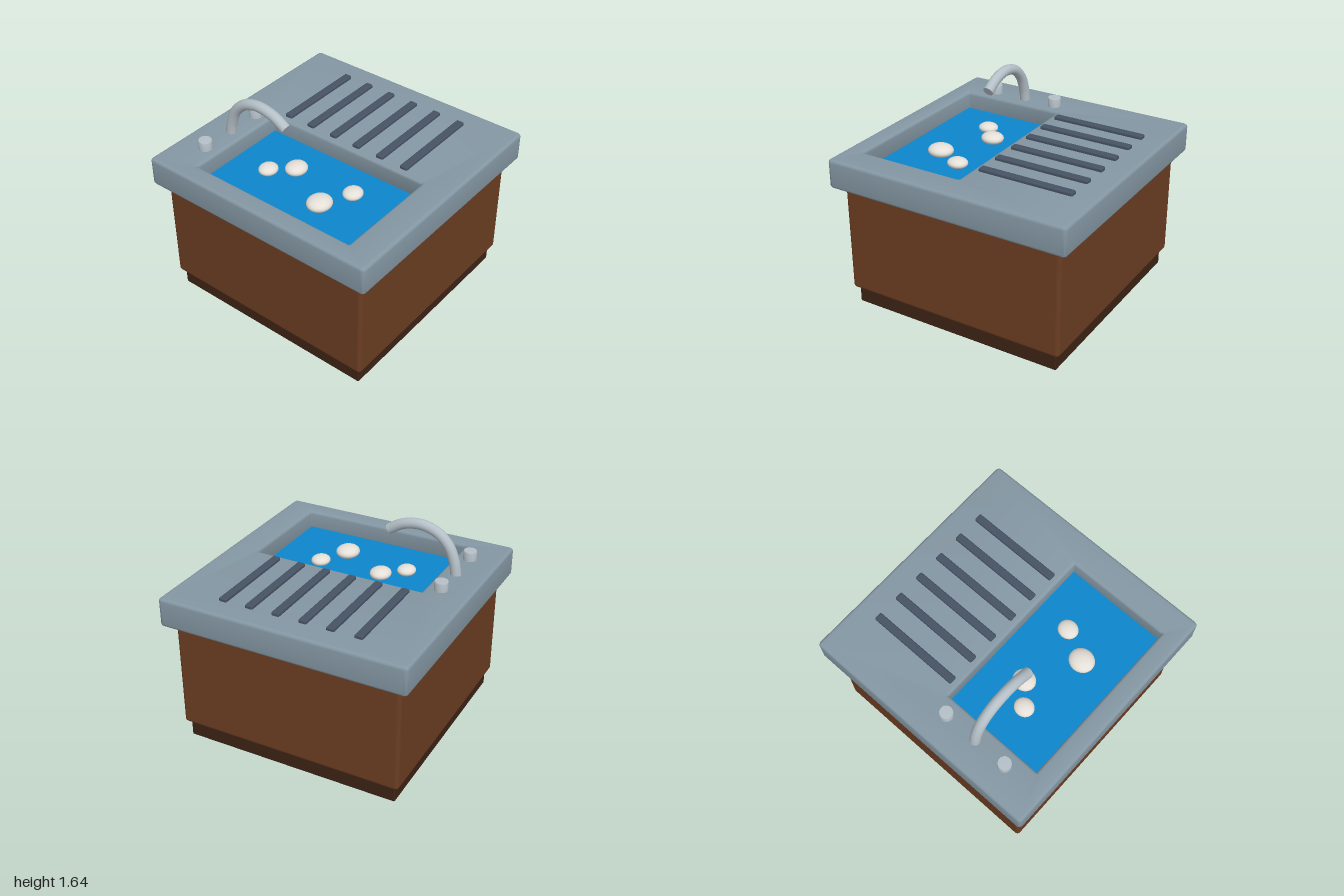
import * as THREE from 'three';
import { RoundedBoxGeometry } from 'three/addons/geometries/RoundedBoxGeometry.js';
import { toCreasedNormals } from 'three/addons/utils/BufferGeometryUtils.js';

const mat = (color) => new THREE.MeshStandardMaterial({ color });

// Rounded rectangle, usable as an outline or as a hole
function roundedRect(path, x0, y0, x1, y1, r) {
  path.moveTo(x0 + r, y0);
  path.lineTo(x1 - r, y0);
  path.absarc(x1 - r, y0 + r, r, -Math.PI / 2, 0);
  path.lineTo(x1, y1 - r);
  path.absarc(x1 - r, y1 - r, r, 0, Math.PI / 2);
  path.lineTo(x0 + r, y1);
  path.absarc(x0 + r, y1 - r, r, Math.PI / 2, Math.PI);
  path.lineTo(x0, y0 + r);
  path.absarc(x0 + r, y0 + r, r, Math.PI, Math.PI * 1.5);
  return path;
}

export function createModel() {
  const group = new THREE.Group();
  const wood = mat(0x6b3d22), darkWood = mat(0x3d2214), stone = mat(0x8497a3);
  const slate = mat(0x465263), metal = mat(0xb4bfc7), blue = mat(0x0d86cc), foam = mat(0xe4e0d8);

  function add(name, geometry, material, x = 0, y = 0, z = 0) {
    const mesh = new THREE.Mesh(geometry, material);
    mesh.name = name;
    mesh.position.set(x, y, z);
    group.add(mesh);
    return mesh;
  }

  // Base and cabinet
  add('plinth', new RoundedBoxGeometry(1.76, 0.16, 1.76, 3, 0.012), darkWood, 0, 0.08, 0);
  add('cabinet', new RoundedBoxGeometry(1.835, 0.9, 1.835, 4, 0.03), wood, 0, 0.585, 0);

  // Worktop with basin opening, edges rounded all round
  const bevel = 0.025;
  const outline = roundedRect(new THREE.Shape(), -1, -1, 1, 1, 0.032);
  outline.holes.push(roundedRect(new THREE.Path(), -0.845, -0.757, 0.003, 0.648, 0.006));
  const top = new THREE.ExtrudeGeometry(outline, {
    depth: 0.233 - 2 * bevel, bevelEnabled: true, bevelSize: bevel, bevelThickness: bevel,
    bevelOffset: -bevel, bevelSegments: 4, curveSegments: 5,
  });
  top.rotateX(-Math.PI / 2);
  add('worktop', toCreasedNormals(top, 0.7), stone, 0, 1.017 + bevel, 0);

  // Water filling the basin
  add('water', new THREE.BoxGeometry(0.852, 0.09, 1.409), blue, -0.421, 1.065, 0.0545);

  // Bubbles floating on the water: x, z, radius
  const bubbles = [[-0.52, 0.235, 0.103], [-0.283, 0.355, 0.082], [-0.303, -0.165, 0.092], [-0.442, -0.323, 0.08]];
  for (const [x, z, r] of bubbles) {
    add('bubble', new THREE.SphereGeometry(r, 24, 16), foam, x, 1.14, z).scale.set(1, 0.5, 0.92);
  }

  // Draining ribs
  for (let i = 0; i < 6; i++) {
    add('drainRib', new RoundedBoxGeometry(0.765, 0.05, 0.064, 3, 0.012), slate, 0.436, 1.251, -0.545 + i * 0.22);
  }

  // Tap knobs, with slightly rounded tops
  const knobProfile = [[0, 0], [0.053, 0], [0.053, 0.08], [0.049, 0.086], [0, 0.087]]
    .map(([x, y]) => new THREE.Vector2(x, y));
  const knob = toCreasedNormals(new THREE.LatheGeometry(knobProfile, 24), 0.6);
  for (const x of [-0.645, -0.085]) add('tapKnob', knob, metal, x, 1.24, -0.765);

  // Curved spout with a closed mouth
  const curve = new THREE.CatmullRomCurve3([
    [1.23, -0.768], [1.35, -0.747], [1.47, -0.695], [1.558, -0.6],
    [1.596, -0.465], [1.572, -0.32], [1.505, -0.202],
  ].map(([y, z]) => new THREE.Vector3(-0.363, y, z)));
  add('spout', new THREE.TubeGeometry(curve, 40, 0.042, 18), metal);
  const mouth = add('spoutMouth', new THREE.CircleGeometry(0.042, 18), metal);
  const end = curve.getPoint(1);
  mouth.position.copy(end);
  mouth.lookAt(end.clone().add(curve.getTangent(1)));

  return group;
}
